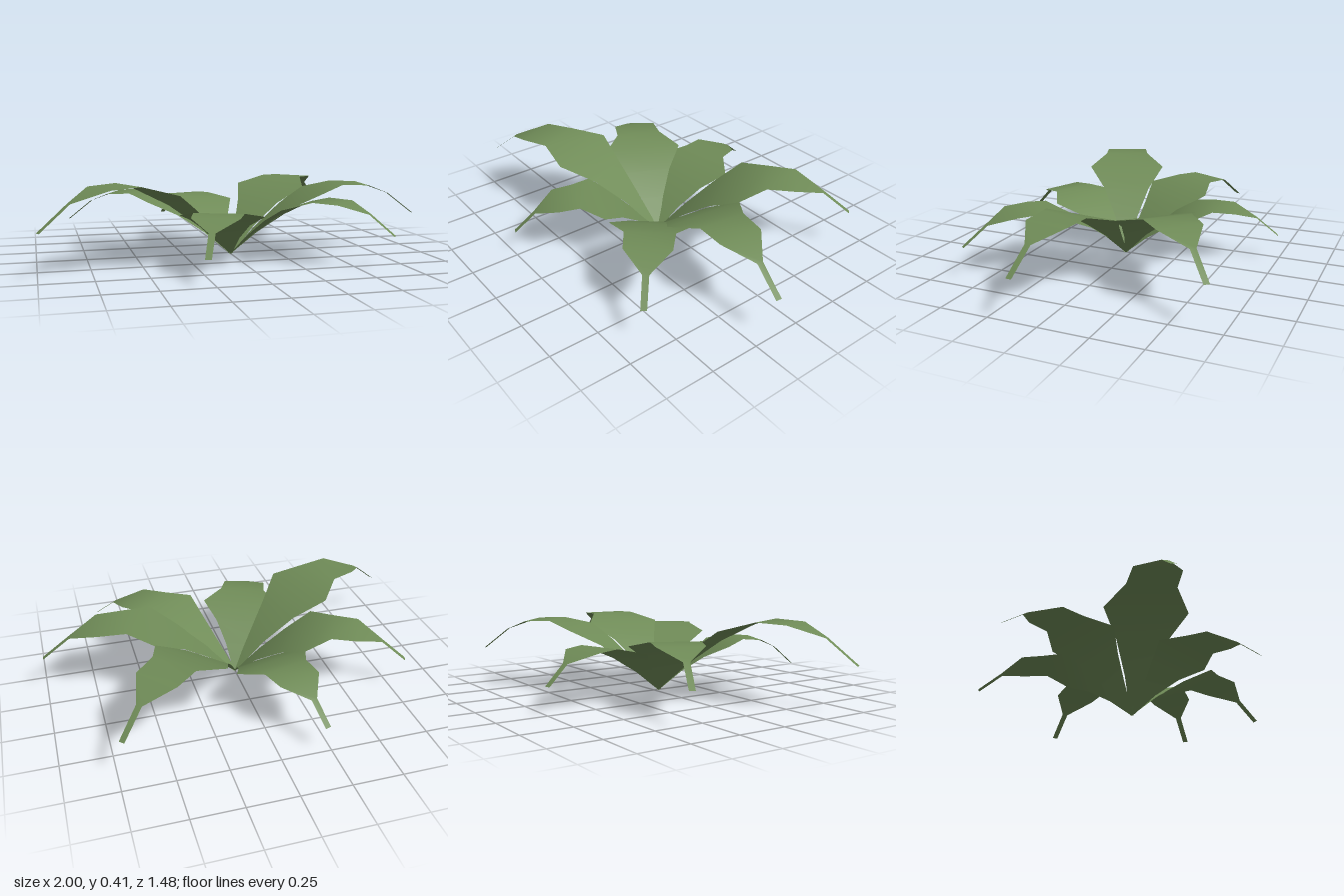
import * as THREE from 'three';

// Seven equal steps along every leaf: blade width and arch height (peak = 1)
const WIDTHS = [0.015, 0.12, 0.25, 0.42, 0.245, 0.23, 0.032, 0.03];
const ARCH = [0, 0.37, 0.67, 0.89, 1, 0.985, 0.84, 0.543];
const CENTRE_Z = 0.03;

// Tip position on the ground plane, peak height and tip height of each leaf
const LEAVES = [
  { x: 1.0, z: 0.13, peak: 0.37, tip: 0.2 },
  { x: 0.66, z: 0.61, peak: 0.315, tip: 0.16 },
  { x: -0.285, z: 0.73, peak: 0.28, tip: 0.12 },
  { x: -0.994, z: 0.46, peak: 0.406, tip: 0.22 },
  { x: -0.815, z: -0.355, peak: 0.325, tip: 0.165 },
  { x: -0.23, z: -0.74, peak: 0.28, tip: 0.13 },
  { x: 0.72, z: -0.66, peak: 0.37, tip: 0.2 },
];

// Arching strip with two vertices per cross-section
function leafGeometry({ x, z, peak, tip }) {
  const dx = x, dz = z - CENTRE_Z;
  const length = Math.hypot(dx, dz);
  const sideX = -dz / length, sideZ = dx / length;
  const steps = WIDTHS.length - 1;
  const positions = [], indices = [];
  const extraDroop = tip - peak * ARCH[steps];
  for (let i = 0; i <= steps; i++) {
    const t = i / steps;
    const y = peak * ARCH[i] + extraDroop * t ** 4;
    for (const s of [-0.5, 0.5]) {
      const w = WIDTHS[i] * s;
      positions.push(dx * t + sideX * w, y, CENTRE_Z + dz * t + sideZ * w);
    }
    if (i < steps) {
      const a = i * 2;
      indices.push(a, a + 1, a + 2, a + 1, a + 3, a + 2);
    }
  }
  const geometry = new THREE.BufferGeometry();
  geometry.setAttribute('position', new THREE.Float32BufferAttribute(positions, 3));
  geometry.setIndex(indices);
  geometry.computeVertexNormals();
  return geometry;
}

export function createModel() {
  const plant = new THREE.Group();
  plant.name = 'leafyPlant';
  const leafGreen = new THREE.MeshStandardMaterial({ color: 0x6f8b57, side: THREE.DoubleSide });
  leafGreen.name = 'leafGreen';
  LEAVES.forEach((leaf, i) => {
    const mesh = new THREE.Mesh(leafGeometry(leaf), leafGreen);
    mesh.name = `leaf${i + 1}`;
    plant.add(mesh);
  });
  return plant;
}
